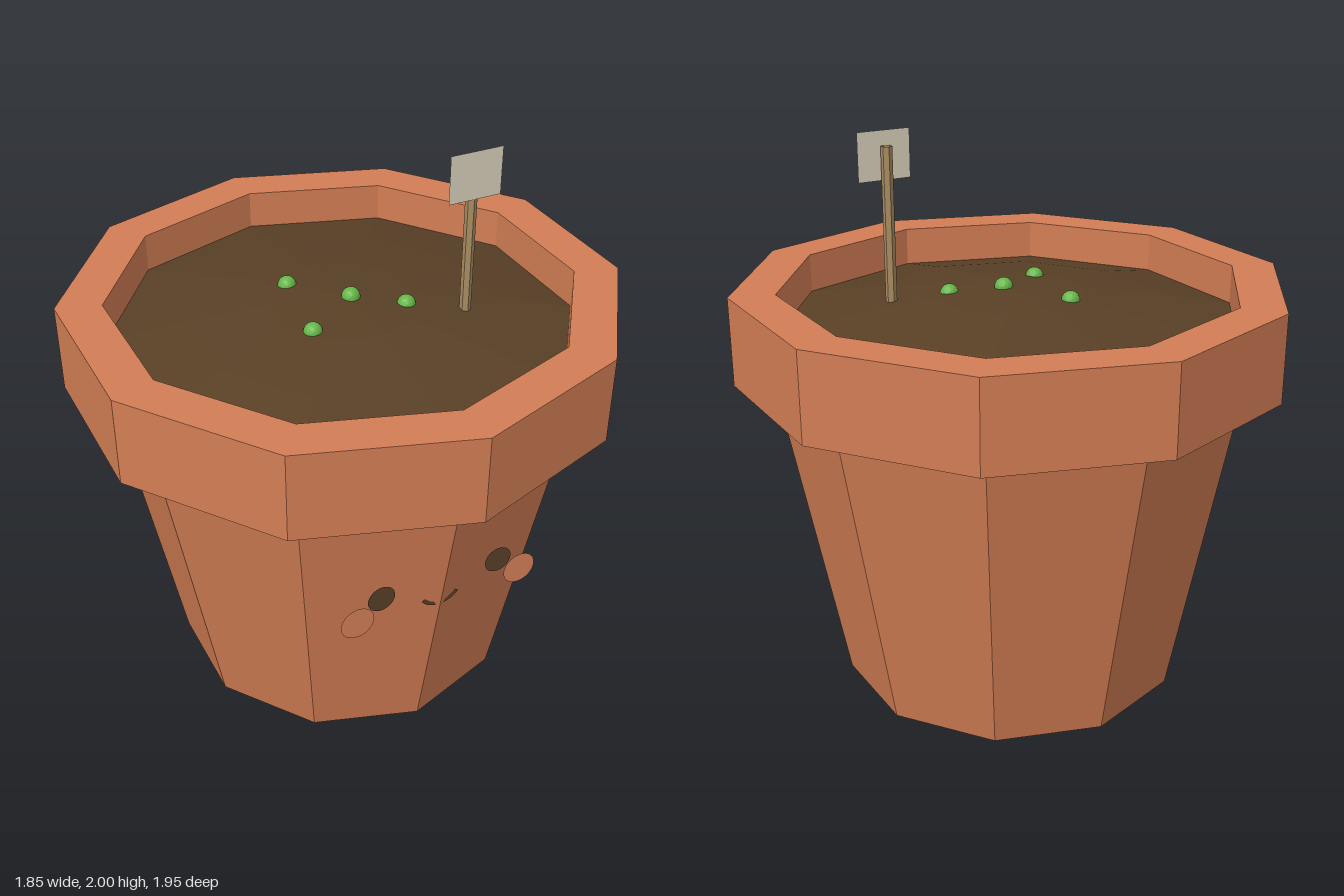
import * as THREE from 'three';

function material(name, color, side = THREE.FrontSide) {
  const m = new THREE.MeshStandardMaterial({ color, side, flatShading: true });
  m.name = name;
  return m;
}

export function createModel() {
  const terracotta = material('terracotta', 0xd27d54);
  const soilBrown = material('soil brown', 0x594026);
  const faceBrown = material('face brown', 0x594028, THREE.DoubleSide);
  const blush = material('blush', 0xd8825a, THREE.DoubleSide);
  const leafGreen = material('leaf green', 0x66b548);
  const wood = material('wood', 0xab8d62, THREE.DoubleSide);
  const card = material('card', 0xd8d0bc, THREE.DoubleSide);

  const model = new THREE.Group();
  model.name = 'flowerPot';

  function add(name, geometry, mat, x = 0, y = 0, z = 0) {
    const mesh = new THREE.Mesh(geometry, mat);
    mesh.name = name;
    mesh.position.set(x, y, z);
    model.add(mesh);
    return mesh;
  }

  // Ten-sided turned parts, with a corner pointing to the front
  const turned = (points) =>
    new THREE.LatheGeometry(points.map(([r, y]) => new THREE.Vector2(r, y)), 10);

  // Tapered body with closed base
  add('potBody', turned([[0, 0], [0.62, 0], [0.84, 1.165]]), terracotta);

  // Thick rim: underside, outer wall, top and inner wall
  add('potRim', turned([
    [0.82, 1.165], [0.975, 1.165], [0.975, 1.48], [0.815, 1.48], [0.815, 1.3],
  ]), terracotta);

  // Slightly heaped soil
  add('soil', turned([[0.815, 1.34], [0.55, 1.392], [0.27, 1.432], [0, 1.455]]), soilBrown);

  // Sprouts poking out of the soil
  const sproutGeometry = new THREE.IcosahedronGeometry(0.033, 2);
  [
    [0.02, 1.454, 0.02],
    [-0.13, 1.434, -0.18],
    [-0.18, 1.432, 0.14],
    [0.185, 1.431, 0.115],
  ].forEach(([x, y, z]) => add('sprout', sproutGeometry, leafGreen, x, y, z));

  // Plant marker: hollow stick with a thin card in front
  add('markerStick', new THREE.CylinderGeometry(0.02, 0.02, 0.6, 6, 1, true), wood, 0.369, 1.65, 0.2);
  add('markerCard', new THREE.PlaneGeometry(0.195, 0.17), card, 0.369, 1.915, 0.222);

  // Face: flat discs in front of the body, mirrored left and right
  const faceZ = 0.735;
  for (const side of [-1, 1]) {
    add('eye', new THREE.CircleGeometry(0.05, 32), faceBrown, side * 0.222, 0.745, faceZ);
    add('cheek', new THREE.CircleGeometry(0.061, 32), blush, side * 0.31, 0.675, faceZ + 0.002);
  }

  // Smile: an arc whose middle sinks into the front corner
  const half = 0.95;
  add('mouth', new THREE.RingGeometry(0.071, 0.086, 24, 1, -Math.PI / 2 - half, half * 2),
    faceBrown, 0, 0.72, faceZ + 0.001);

  return model;
}
